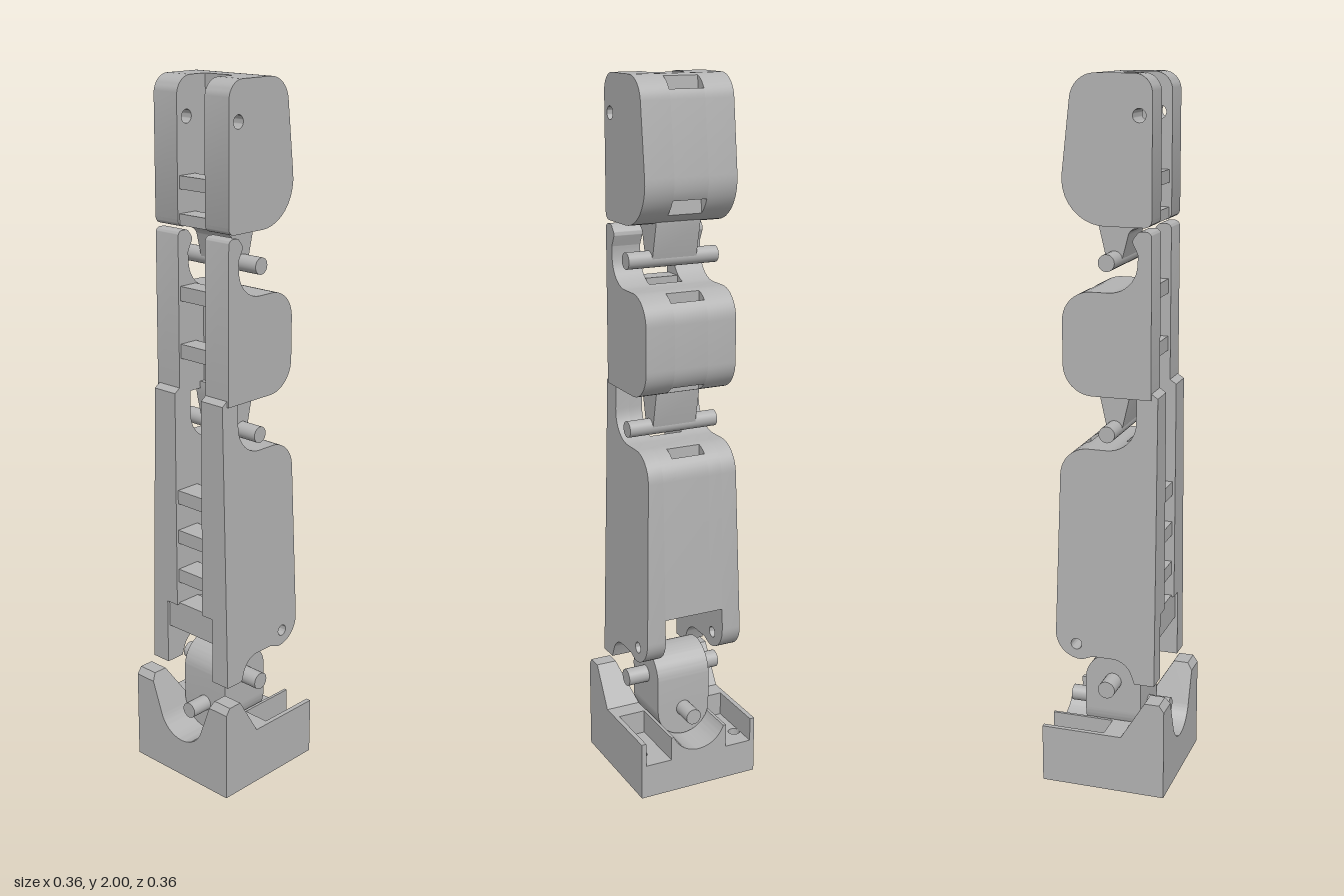
import * as THREE from 'three';
import { toCreasedNormals } from 'three/addons/utils/BufferGeometryUtils.js';

const grey = new THREE.MeshStandardMaterial({ color: 0xb3b3b3 });
grey.name = 'plain grey';

const CHANNEL = 0.05; // half width of the tendon channel

function add(parent, name, geometry) {
  const mesh = new THREE.Mesh(geometry, grey);
  mesh.name = name;
  parent.add(mesh);
  return mesh;
}

// Polygon from [x, y, radius] corners, each corner replaced by a true arc
function rounded(corners) {
  const out = [];
  corners.forEach(([x, y, r = 0], i) => {
    const c = new THREE.Vector2(x, y);
    if (!r) return out.push(c);
    const n = corners.length;
    const p = new THREE.Vector2(...corners[(i + n - 1) % n].slice(0, 2)).sub(c).normalize();
    const q = new THREE.Vector2(...corners[(i + 1) % n].slice(0, 2)).sub(c).normalize();
    const half = Math.acos(p.dot(q)) / 2, d = r / Math.tan(half), w = Math.sin(half);
    const a = c.clone().addScaledVector(p, d), b = c.clone().addScaledVector(q, d);
    for (let k = 0; k <= 10; k++) {
      const t = k / 10, wa = (1 - t) ** 2, wc = 2 * w * t * (1 - t), wb = t * t;
      out.push(new THREE.Vector2(0, 0).addScaledVector(a, wa).addScaledVector(c, wc)
        .addScaledVector(b, wb).divideScalar(wa + wc + wb));
    }
  });
  return out;
}

// Keeps the part of a polygon where side(point) >= 0 (side is linear)
function clip(points, side) {
  const out = [];
  points.forEach((p, i) => {
    const q = points[(i + 1) % points.length], a = side(p), b = side(q);
    if (a >= 0) out.push(p);
    if (a * b < 0) out.push(p.clone().lerp(q, a / (a - b)));
  });
  return out;
}

// Slab with a shape as its face, from z0 to z1; warp may move its vertices
function slab(shape, z0, z1, warp) {
  const g = new THREE.ExtrudeGeometry(shape, { depth: z1 - z0, bevelEnabled: false, curveSegments: 24 });
  g.translate(0, 0, z0);
  if (warp) {
    const pos = g.attributes.position, v = new THREE.Vector3();
    for (let i = 0; i < pos.count; i++) {
      warp(v.fromBufferAttribute(pos, i));
      pos.setXYZ(i, v.x, v.y, v.z);
    }
  }
  return toCreasedNormals(g, 0.5);
}

function box(x0, x1, y0, y1, z0, z1) {
  return new THREE.BoxGeometry(x1 - x0, y1 - y0, z1 - z0)
    .translate((x0 + x1) / 2, (y0 + y1) / 2, (z0 + z1) / 2);
}

function shapeWithHole(points, hole) {
  const shape = new THREE.Shape(points);
  if (hole) shape.holes.push(new THREE.Path().absarc(...hole, 0, Math.PI * 2, true));
  return shape;
}

// Finger segment: two cheeks, and between them a core, a front strip and rungs
function segment(name, o) {
  const group = new THREE.Group();
  group.name = name;
  const outline = rounded(o.corners);
  const inner = o.cheekInner ?? CHANNEL;
  for (const s of [-1, 1]) {
    const warp = v => { if (Math.abs(v.z) > 0.1) v.z = s * o.halfWidth(v.y); };
    add(group, 'cheek', slab(shapeWithHole(outline, o.hole), s > 0 ? inner : -0.135, s > 0 ? 0.135 : -inner, warp));
  }
  const [x0, x1, yRef, slope] = o.tunnel;
  const line = (p, x) => p.x - x - slope * (p.y - yRef);
  const middle = o.floor ? clip(outline, p => p.y - o.floor) : outline;
  add(group, 'frontStrip', slab(new THREE.Shape(clip(middle, p => line(p, x1))), -inner, inner));
  const core = clip(clip(middle, p => p.x - o.back), p => -line(p, x0));
  add(group, 'core', slab(new THREE.Shape(core), -inner, inner));
  // Cheek thickening beside the channel, above the lower cavity
  if (inner > CHANNEL) for (const s of [-1, 1]) {
    add(group, 'cheekLining', slab(new THREE.Shape(middle), s > 0 ? CHANNEL : -inner, s > 0 ? inner : -CHANNEL));
  }
  for (const [y0, y1, w = CHANNEL] of o.rungs) add(group, 'rung', box(o.rungBack, -0.06, y0, y1, -w, w));
  return group;
}

// Tapered tongue ending in a cross pin
function hinge(name, top, pinY, flare) {
  const group = new THREE.Group();
  group.name = name;
  const tongue = rounded([
    [-0.045 - flare, top + 0.005], [-0.042, top - 0.02, flare ? 0.025 : 0], [-0.022, pinY],
    [0.022, pinY], [0.045, top], [0.045, top + 0.02], [-0.045 - flare, top + 0.02],
  ]);
  add(group, 'tongue', slab(new THREE.Shape(tongue), -0.066, 0.066));
  add(group, 'hingePin', new THREE.CylinderGeometry(0.023, 0.023, 0.27, 28).rotateX(Math.PI / 2).translate(0, pinY, 0));
  return group;
}

function knuckle() {
  const group = new THREE.Group();
  group.name = 'knuckle';
  const arch = new THREE.Shape();
  arch.moveTo(-0.083, 0.2);
  arch.lineTo(0.083, 0.2);
  arch.absarc(0, 0.292, 0.083, 0, Math.PI, false);
  add(group, 'knuckleArch', slab(arch, -0.082, 0.082));
  const round = new THREE.Shape().absarc(0, 0.2, 0.082, Math.PI, Math.PI * 2, false);
  add(group, 'knuckleRound', slab(round, -0.083, 0.083).rotateY(Math.PI / 2));
  add(group, 'sidePin', new THREE.CylinderGeometry(0.025, 0.025, 0.29, 28).rotateX(Math.PI / 2).translate(0, 0.292, 0));
  add(group, 'swivelPin', new THREE.CylinderGeometry(0.023, 0.023, 0.298, 28).rotateZ(Math.PI / 2).translate(0, 0.2, 0));
  return group;
}

// Cross-section of the block with a round trough along x
function trough(w) {
  const a = Math.asin(0.03 / 0.085), s = new THREE.Shape();
  s.moveTo(-w, 0);
  s.lineTo(w, 0);
  s.lineTo(w, 0.17);
  s.absarc(0, 0.2, 0.085, -a, -Math.PI + a, true);
  s.lineTo(-w, 0.17);
  return s;
}

function base() {
  const group = new THREE.Group();
  group.name = 'base';
  add(group, 'rearBlock', slab(trough(0.182), -0.182, 0).rotateY(Math.PI / 2));
  add(group, 'troughBlock', slab(trough(0.088), 0, 0.182).rotateY(Math.PI / 2));
  const post = new THREE.Shape([
    [-0.182, 0.17], [-0.055, 0.17], [-0.125, 0.285], [-0.168, 0.285], [-0.182, 0.265],
  ].map(p => new THREE.Vector2(...p)));
  for (const s of [-1, 1]) {
    // Sloped post whose inner face flares outwards
    const flare = v => { if (Math.abs(v.z) < 0.1) v.z = s * (0.0795 + (v.y - 0.17) * 0.37); };
    add(group, 'post', slab(post, s > 0 ? 0.08 : -0.182, s > 0 ? 0.182 : -0.08, flare));
    // Pocket floor with a screw hole, and its outer wall
    const z0 = s > 0 ? -0.182 : 0.088, z1 = s > 0 ? -0.088 : 0.182;
    const floor = shapeWithHole([[0, z0], [0.182, z0], [0.182, z1], [0, z1]].map(p => new THREE.Vector2(...p)),
      [0.115, -s * 0.152, 0.017]);
    add(group, 'pocketFloor', slab(floor, 0, 0.1).rotateX(-Math.PI / 2));
    add(group, 'pocketWall', box(0, 0.182, 0.1, 0.17, s > 0 ? 0.168 : -0.182, s > 0 ? 0.182 : -0.168));
  }
  return group;
}

export function createModel() {
  const model = new THREE.Group();
  model.name = 'jointedFinger';
  model.add(base(), knuckle());
  model.add(segment('lowerSegment', {
    corners: [[-0.143, 0.325], [-0.085, 0.325], [-0.06, 0.392, 0.06], [0.04, 0.392, 0.03], [0.07, 0.38, 0.03],
      [0.152, 0.38, 0.075], [0.133, 1.0, 0.08], [-0.083, 1.0, 0.083], [-0.083, 1.15], [-0.12, 1.15],
      [-0.124, 1.168], [-0.143, 1.155]],
    halfWidth: y => 0.15 - (y - 0.325) * 0.025,
    hole: [0.088, 0.425, 0.016], cheekInner: 0.09, floor: 0.52, back: -0.03, tunnel: [0.075, 0.108, 1, -0.03],
    rungBack: -0.135, rungs: [[0.44, 0.525, 0.09], [0.59, 0.63], [0.71, 0.75], [0.83, 0.87]],
  }));
  model.add(hinge('lowerHinge', 1.15, 1.045, 0));
  model.add(segment('middleSegment', {
    corners: [[-0.125, 1.15], [0.125, 1.15, 0.085], [0.125, 1.435, 0.08], [-0.083, 1.435, 0.08],
      [-0.088, 1.54, 0.02], [-0.07, 1.575, 0.015], [-0.09, 1.6, 0.012], [-0.125, 1.6, 0.015]],
    halfWidth: () => 0.135,
    back: -0.03, tunnel: [0.07, 0.102, 1.3, 0],
    rungBack: -0.118, rungs: [[1.25, 1.29], [1.41, 1.45]],
  }));
  model.add(hinge('upperHinge', 1.61, 1.514, 0.04));
  model.add(segment('tipSegment', {
    corners: [[-0.125, 1.61, 0.02], [0.137, 1.61, 0.12], [0.092, 2.0, 0.07], [-0.125, 2.0, 0.05]],
    halfWidth: () => 0.135,
    hole: [-0.09, 1.895, 0.018], back: -0.02, tunnel: [0.055, 0.088, 2, -0.075],
    rungBack: -0.118, rungs: [[1.615, 1.645], [1.71, 1.745]],
  }));
  return model;
}
